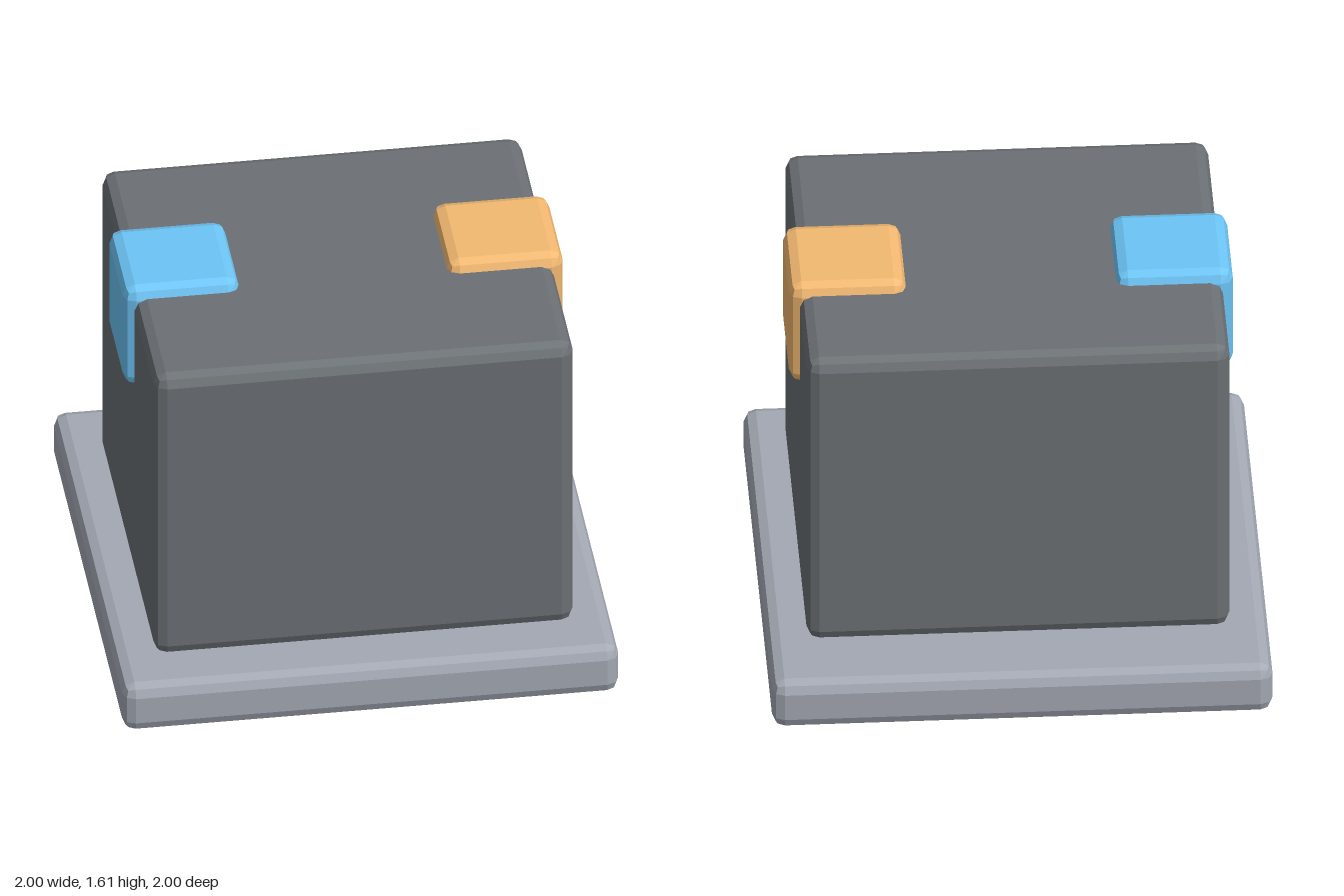
import * as THREE from 'three';
import { RoundedBoxGeometry } from 'three/addons/geometries/RoundedBoxGeometry.js';

const BEVEL = 0.05;

// Bevelled box given by its lower and upper corners
function bevelBox(name, min, max, color) {
  const lo = new THREE.Vector3(...min);
  const hi = new THREE.Vector3(...max);
  const size = hi.clone().sub(lo);
  const mesh = new THREE.Mesh(
    new RoundedBoxGeometry(size.x, size.y, size.z, 1, BEVEL),
    new THREE.MeshStandardMaterial({ color, flatShading: true })
  );
  mesh.position.copy(lo).add(hi).multiplyScalar(0.5);
  mesh.name = name;
  return mesh;
}

export function createModel() {
  const model = new THREE.Group();
  model.name = 'boxOnPlinth';

  // Wide square plinth
  model.add(bevelBox('plinth', [-1, 0, -1], [1, 0.217, 1], 0xa3a8b3));

  // Dark main block, set slightly towards the front
  model.add(bevelBox('mainBlock', [-0.845, 0.222, -0.711], [0.845, 1.566, 0.802], 0x6b7074));

  // Coloured cubes sunk into the top edge on either side
  const half = 0.235;
  for (const [name, side, color] of [['leftCube', 1, 0xf2b870], ['rightCube', -1, 0x6cc4f5]]) {
    const x = side * 0.652;
    model.add(bevelBox(name, [x - half, 1.14, -half], [x + half, 1.61, half], color));
  }

  return model;
}
